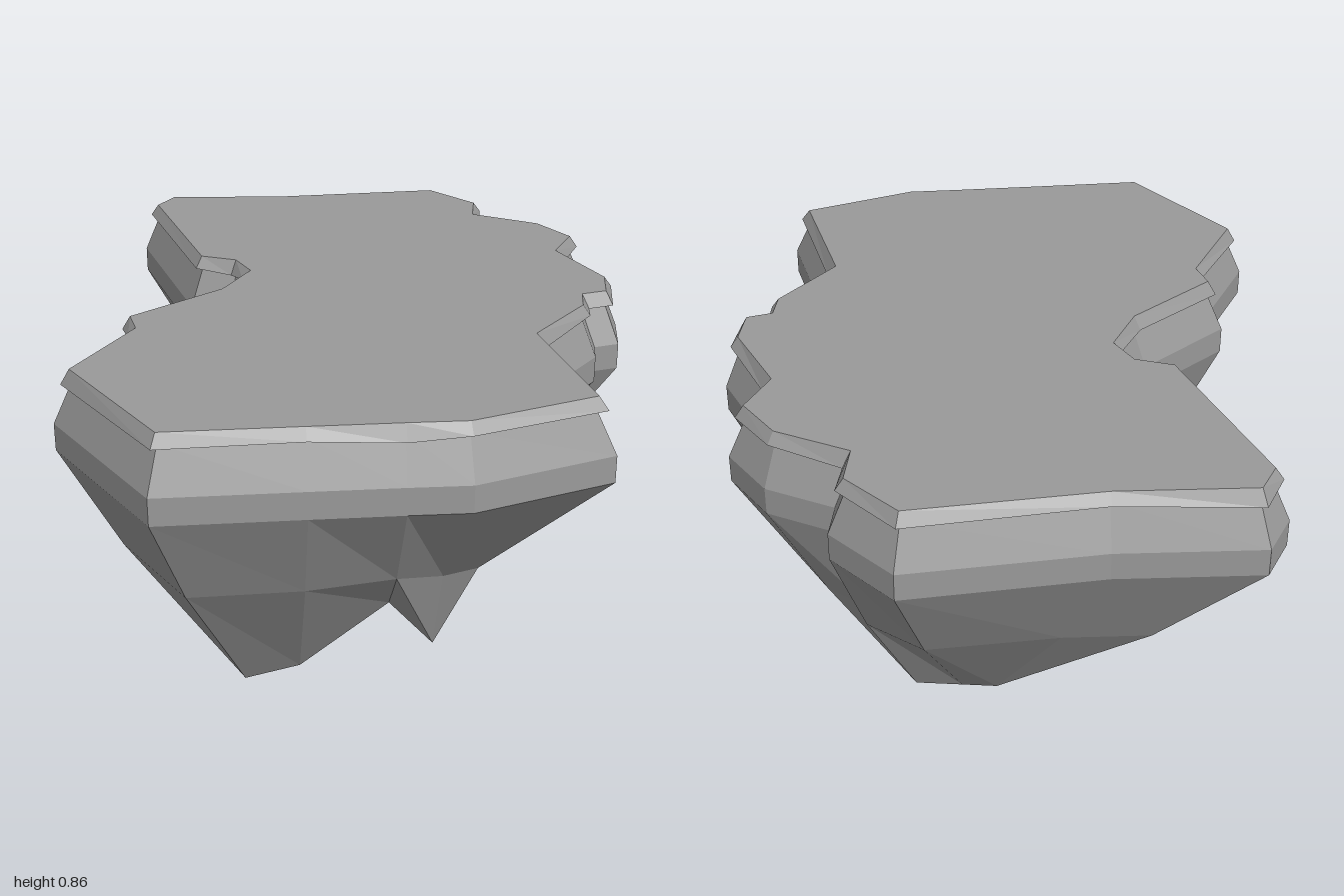
import * as THREE from 'three';

// Hanging rock spurs, in order around the island: tip [x, y, z] and the rim corners [x, z] running down to it.
// A thin spur has its own waist height and pull (share of the way from rim to tip).
const SPURS = [
  { tip: [0.06, 0.09, -0.6], corners: [[0.17, -1]] },
  { tip: [0.18, 0.09, -0.6], corners: [[0.34, -0.85], [0.34, -0.74]] },
  { tip: [0.2, 0.09, -0.52], corners: [[0.52, -0.67]] },
  { tip: [0.24, 0.1, -0.4], corners: [[0.635, -0.53], [0.59, -0.39]] },
  { tip: [0.33, 0.17, -0.12], corners: [[0.715, -0.18], [0.715, -0.03]] },
  { tip: [0.29, 0.33, 0.06], corners: [[0.65, 0], [0.65, 0.07]] },
  { tip: [0.33, 0.31, 0.3], corners: [[0.53, 0.28]] },
  { tip: [0.25, 0.09, 0.52], corners: [[0.675, 0.68], [0.35, 0.865]], waist: 0.34, pull: 0.74 },
  { tip: [0.14, 0.24, 0.58], corners: [[0.2, 0.89]] },
  { tip: [-0.09, 0.035, 0.57], corners: [[-0.02, 0.93]] },
  { tip: [-0.23, 0, 0.59], corners: [[-0.37, 0.995], [-0.675, 0.62]] },
  { tip: [-0.28, 0.11, 0.2], corners: [[-0.57, 0.33], [-0.605, 0.24]] },
  { tip: [-0.17, 0.18, -0.08], corners: [[-0.39, 0], [-0.345, -0.13], [-0.38, -0.185]] },
  { tip: [-0.2, 0.06, -0.45], corners: [[-0.485, -0.21], [-0.72, -0.72]] },
  { tip: [-0.03, 0.09, -0.6], corners: [[-0.67, -0.845], [-0.31, -0.885]] },
];
const columns = SPURS.flatMap((s) => s.corners.map((corner) => ({ corner, ...s })));
const rim = columns.map((c) => c.corner);
const base = columns.map((c) => c.tip);
const N = rim.length;

// Rim outline moved inward by d, at the height given by y(index)
function ringAt(d, y) {
  return rim.map(([x, z], i) => {
    const [px, pz] = rim[(i + N - 1) % N];
    const [qx, qz] = rim[(i + 1) % N];
    const a = new THREE.Vector2(pz - z, x - px).normalize();
    const b = new THREE.Vector2(z - qz, qx - x).normalize();
    const m = a.clone().add(b).normalize();
    const s = d / Math.max(m.dot(a), 0.75);
    return [x + m.x * s, y(i), z + m.y * s];
  });
}

// Triangles joining closed loops from top to bottom
function skin(loops) {
  const tris = [];
  for (let k = 0; k < loops.length - 1; k++) {
    const [t, b] = [loops[k], loops[k + 1]];
    for (let i = 0; i < N; i++) {
      const j = (i + 1) % N;
      tris.push(t[i], t[j], b[i]);
      if (b[i] !== b[j]) tris.push(t[j], b[j], b[i]);
    }
  }
  return tris;
}

function fromTriangles(tris) {
  const g = new THREE.BufferGeometry();
  g.setAttribute('position', new THREE.Float32BufferAttribute(tris.flat(), 3));
  g.computeVertexNormals();
  return g;
}

function addMesh(group, name, geometry) {
  const material = new THREE.MeshStandardMaterial({
    color: 0x9a9a9a, flatShading: true, side: THREE.DoubleSide,
  });
  const mesh = new THREE.Mesh(geometry, material);
  mesh.name = name;
  group.add(mesh);
}

export function createModel() {
  const group = new THREE.Group();
  group.name = 'floatingIsland';

  // Flat ground on top
  const topLoop = ringAt(0.04, () => 0.862);
  const shape = new THREE.Shape(topLoop.map(([x, , z]) => new THREE.Vector2(x, -z)));
  const ground = new THREE.ShapeGeometry(shape);
  ground.rotateX(-Math.PI / 2).translate(0, 0.862, 0);
  addMesh(group, 'groundTop', ground);

  // Overhanging ragged lip around the ground
  const ragged = (i) => 0.828 + 0.007 * Math.sin(i * 2.3);
  const wallTop = ringAt(0.045, () => 0.832);
  addMesh(group, 'groundLip', fromTriangles(skin([topLoop, ringAt(0.02, ragged), wallTop])));

  // Rock body: the waist bulges a little outside the straight line from rim to tip
  const waistLoop = columns.map(({ corner: [x, z], tip: [tx, ty, tz], waist = 0.39, pull }) => {
    const t = pull ?? (0.85 * 0.26) / (0.65 - ty);
    return [x + (tx - x) * t, waist, z + (tz - z) * t];
  });
  const rock = skin([wallTop, ringAt(0, () => 0.72), ringAt(0, () => 0.65), waistLoop, base]);

  // Underside: a hollow at the front and a blunt foot at the back
  const hollow = [0.1, 0.33, 0.26];
  const foot = [0.03, 0.12, -0.38];
  const hub = (p) => (p[2] > 0.05 ? hollow : foot);
  SPURS.forEach(({ tip: p }, i) => {
    const q = SPURS[(i + 1) % SPURS.length].tip;
    rock.push(p, q, hub(p));
    if (hub(p) !== hub(q)) rock.push(q, hub(q), hub(p));
  });
  addMesh(group, 'rockBody', fromTriangles(rock));

  return group;
}
